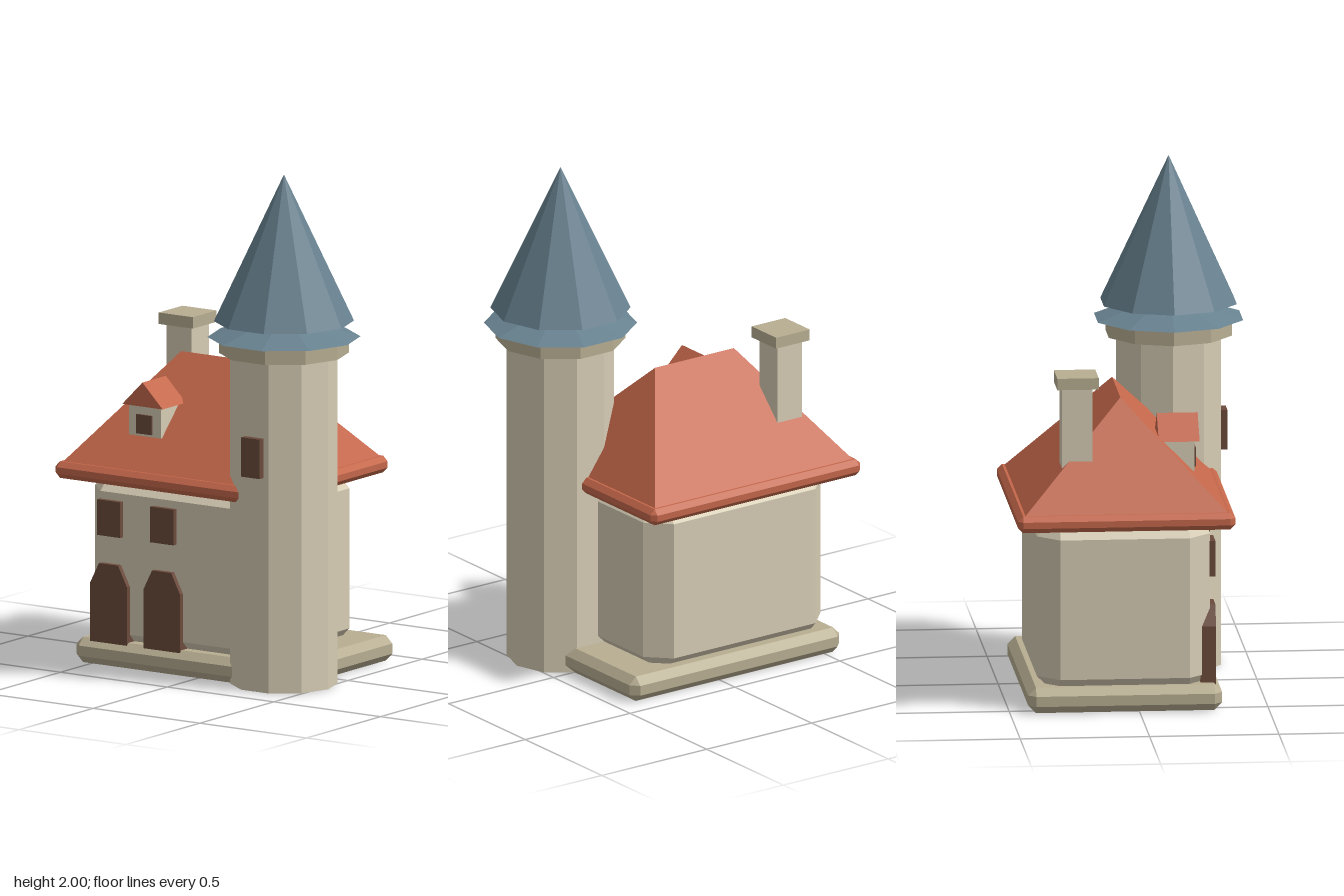
import * as THREE from 'three';
import { ConvexGeometry } from 'three/addons/geometries/ConvexGeometry.js';

const paint = (name, color) => {
  const m = new THREE.MeshStandardMaterial({ color, flatShading: true });
  m.name = name;
  return m;
};

export function createModel() {
  const stone = paint('pale stone', 0xd6ccb4);
  const trim = paint('trim stone', 0xb8ae92);
  const tile = paint('red tile', 0xc4674a);
  const slate = paint('blue slate', 0x688290);
  const wood = paint('dark wood', 0x6b4a3b);

  const model = new THREE.Group();
  model.name = 'towerHouse';
  const add = (name, geometry, material, parent = model) => {
    const mesh = new THREE.Mesh(geometry, material);
    mesh.name = name;
    parent.add(mesh);
    return mesh;
  };

  // Box given by its limits on each axis
  const box = (name, mat, [x0, x1], [y0, y1], [z0, z1], parent) =>
    add(name, new THREE.BoxGeometry(x1 - x0, y1 - y0, z1 - z0)
      .translate((x0 + x1) / 2, (y0 + y1) / 2, (z0 + z1) / 2), mat, parent);

  // Box with every edge and corner cut by c
  const chamferBox = (name, mat, xs, ys, zs, c) => {
    const points = [];
    for (const i of [0, 1]) for (const j of [0, 1]) for (const k of [0, 1]) {
      const dx = i ? -c : c, dy = j ? -c : c, dz = k ? -c : c;
      const [x, y, z] = [xs[i], ys[j], zs[k]];
      points.push(
        new THREE.Vector3(x, y + dy, z + dz),
        new THREE.Vector3(x + dx, y, z + dz),
        new THREE.Vector3(x + dx, y + dy, z));
    }
    return add(name, new ConvexGeometry(points), mat);
  };

  // Flat outline pushed forward from z0 to z1
  const slab = (name, mat, outline, z0, z1, parent) => {
    const shape = new THREE.Shape(outline.map(([x, y]) => new THREE.Vector2(x, y)));
    const geo = new THREE.ExtrudeGeometry(shape, { depth: z1 - z0, bevelEnabled: false });
    return add(name, geo.translate(0, 0, z0), mat, parent);
  };

  // House body
  chamferBox('foundation', trim, [-0.57, 0.43], [0, 0.1], [-0.43, 0.32], 0.03);
  chamferBox('walls', stone, [-0.55, 0.295], [0.045, 0.765], [-0.39, 0.28], 0.085);

  // Hipped roof on a chamfered eave
  chamferBox('eave', tile, [-0.63, 0.37], [0.725, 0.79], [-0.475, 0.365], 0.02);
  add('hippedRoof', new ConvexGeometry([
    [-0.602, 0.788, -0.447], [0.342, 0.788, -0.447],
    [-0.602, 0.788, 0.337], [0.342, 0.788, 0.337],
    [-0.32, 1.19, -0.055], [0.055, 1.19, -0.055],
  ].map((p) => new THREE.Vector3(...p))), tile);

  // Chimney
  const chimney = new THREE.Group();
  chimney.name = 'chimney';
  model.add(chimney);
  box('chimneyShaft', stone, [-0.472, -0.354], [0.8, 1.26], [-0.293, -0.175], chimney);
  box('chimneyCap', trim, [-0.493, -0.333], [1.26, 1.305], [-0.313, -0.153], chimney);

  // Dormer
  const dormer = new THREE.Group();
  dormer.name = 'dormer';
  model.add(dormer);
  box('dormerWalls', stone, [-0.368, -0.217], [0.905, 1.03], [0.09, 0.228], dormer);
  slab('dormerRoof', tile, [[-0.387, 1.025], [-0.198, 1.025], [-0.2925, 1.12]], 0.088, 0.246, dormer);
  box('dormerWindow', wood, [-0.33, -0.258], [0.915, 0.99], [0.22, 0.236], dormer);

  // Arched doors and the windows above them
  for (const x of [-0.414, -0.165]) {
    slab('door', wood, [
      [x - 0.086, 0.09], [x + 0.086, 0.09], [x + 0.086, 0.32],
      [x + 0.045, 0.4], [x - 0.045, 0.4], [x - 0.086, 0.32],
    ], 0.24, 0.3);
    box('window', wood, [x - 0.055, x + 0.055], [0.51, 0.65], [0.25, 0.3]);
  }

  // Ten-sided corner tower
  const tower = new THREE.Group();
  tower.name = 'tower';
  tower.position.set(0.33, 0, 0.187);
  model.add(tower);
  const ring = (name, mat, rTop, rBottom, y0, y1) =>
    add(name, new THREE.CylinderGeometry(rTop, rBottom, y1 - y0, 10)
      .rotateY(Math.PI / 10).translate(0, (y0 + y1) / 2, 0), mat, tower);
  ring('towerShaft', stone, 0.207, 0.207, 0.001, 1.31);
  ring('towerCollar', trim, 0.25, 0.25, 1.3, 1.363);
  ring('towerBrim', slate, 0.08, 0.295, 1.363, 1.432);
  ring('towerSpire', slate, 0, 0.27, 1.425, 2);
  box('towerWindow', wood, [-0.045, 0.041], [0.845, 1], [0.18, 0.224], tower);

  return model;
}
